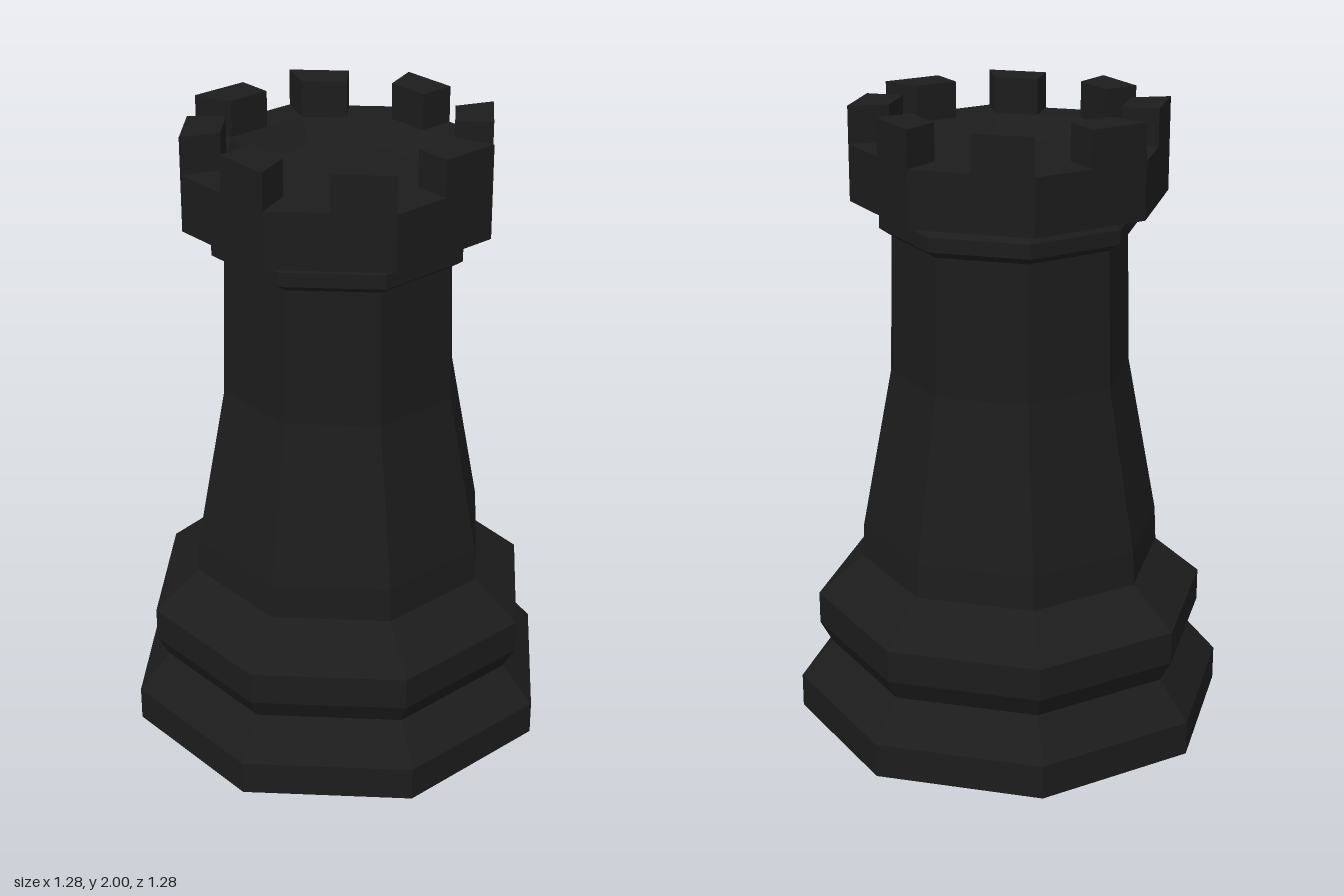
import * as THREE from 'three';

const SIDES = 8;
const HALF = Math.PI / SIDES;
const material = new THREE.MeshStandardMaterial({ color: 0x1c1c1c, flatShading: true });

// Octagonal turning; the profile lists [distance to flat side, height]
function turned(name, profile) {
  const points = profile.map(([d, y]) => new THREE.Vector2(d / Math.cos(HALF), y));
  const mesh = new THREE.Mesh(new THREE.LatheGeometry(points, SIDES, HALF), material);
  mesh.name = name;
  return mesh;
}

export function createModel() {
  const model = new THREE.Group();
  model.name = 'rook';

  model.add(
    turned('base', [[0, 0], [0.64, 0], [0.64, 0.11], [0.545, 0.23], [0.58, 0.3], [0.58, 0.405], [0.445, 0.53]]),
    turned('shaft', [[0.445, 0.53], [0.44, 0.64], [0.35, 1.16], [0.34, 1.595]]),
    turned('collar', [[0.34, 1.595], [0.375, 1.62], [0.375, 1.665], [0.36, 1.685]]),
    // Head with a shallow sunken floor
    turned('head', [[0.36, 1.685], [0.455, 1.708], [0.455, 1.885], [0.34, 1.885], [0.265, 1.82], [0, 1.82]])
  );

  // Battlements: one block on half of each side
  const outer = 0.455, inner = 0.34, t = Math.tan(HALF);
  const outline = new THREE.Shape([
    new THREE.Vector2(0, -outer),
    new THREE.Vector2(outer * t, -outer),
    new THREE.Vector2(inner * t, -inner),
    new THREE.Vector2(0, -inner),
  ]);
  const block = new THREE.ExtrudeGeometry(outline, { depth: 0.115, bevelEnabled: false });
  block.rotateX(-Math.PI / 2);

  const battlements = new THREE.Group();
  battlements.name = 'battlements';
  for (let i = 0; i < SIDES; i++) {
    const merlon = new THREE.Mesh(block, material);
    merlon.name = 'merlon';
    merlon.position.y = 1.885;
    merlon.rotation.y = i * 2 * HALF;
    battlements.add(merlon);
  }
  model.add(battlements);
  return model;
}
